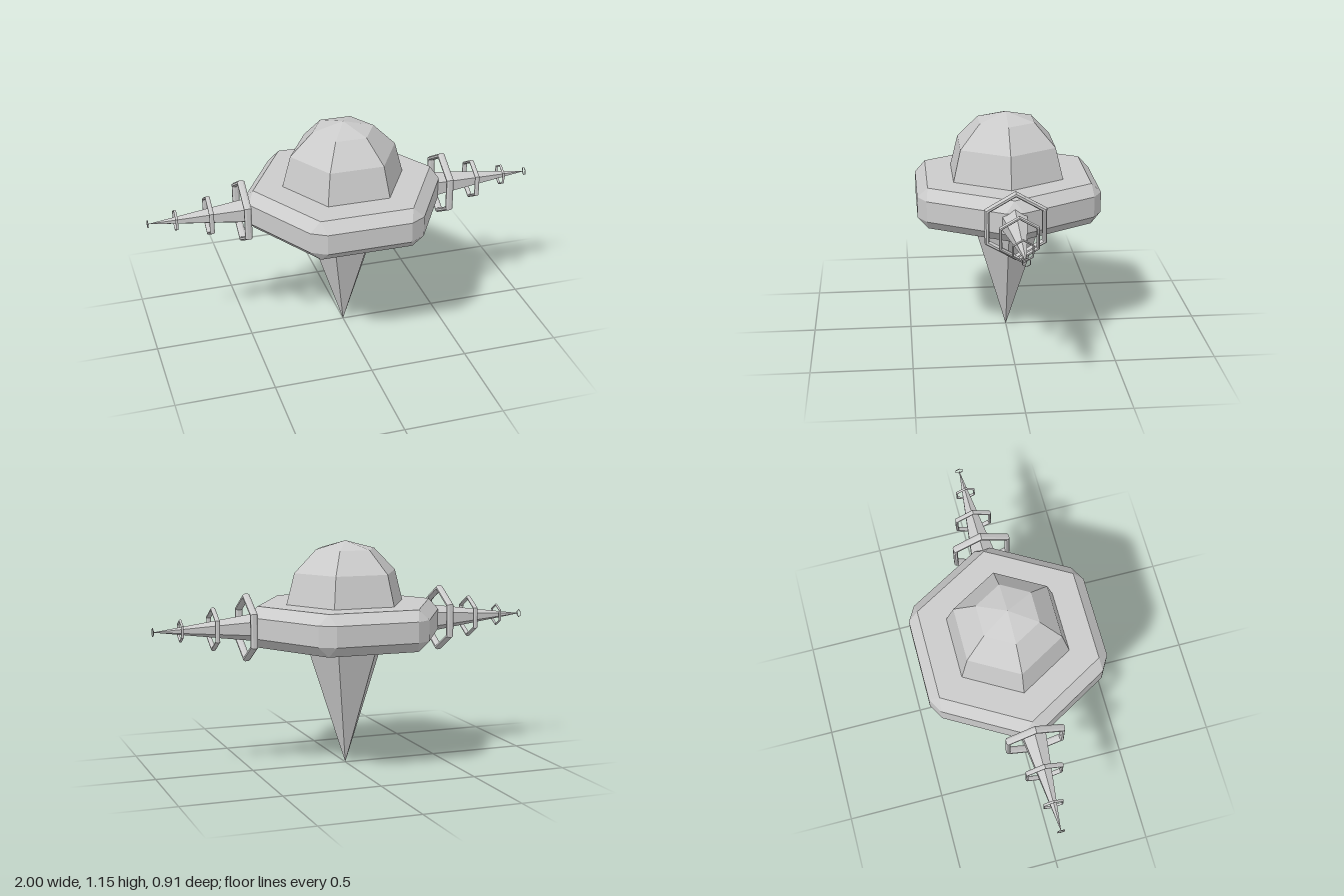
import * as THREE from 'three';
import { ConvexGeometry } from 'three/addons/geometries/ConvexGeometry.js';

const HEX = Math.PI / 3;
const CENTRE_Y = 0.735;

export function createModel() {
  const model = new THREE.Group();
  const material = new THREE.MeshStandardMaterial({ color: 0xcccccc, flatShading: true });

  const add = (parent, name, geometry, x = 0, y = 0) => {
    const mesh = new THREE.Mesh(geometry, material);
    mesh.name = name;
    mesh.position.set(x, y, 0);
    parent.add(mesh);
    return mesh;
  };

  // Hexagonal hull: sharp top and bottom faces, bevelled rims and corners
  const points = [];
  for (let i = 0; i < 6; i++) {
    const spin = (v) => v.applyAxisAngle(new THREE.Vector3(0, 1, 0), i * HEX);
    for (const s of [-1, 1]) {
      points.push(spin(new THREE.Vector3(0.466, CENTRE_Y + s * 0.104, 0)));
      for (const t of [-1, 1]) {
        points.push(spin(new THREE.Vector3(0.5, CENTRE_Y + s * 0.052, t * 0.044)));
      }
    }
  }
  add(model, 'hull', new ConvexGeometry(points));

  // Faceted dome on top
  add(model, 'dome', new THREE.SphereGeometry(0.315, 6, 3, 0, Math.PI * 2, 0, Math.PI / 2), 0, 0.84);

  // Long spike underneath, its base sunk into the hull
  const spike = new THREE.ConeGeometry(0.218, 0.66, 6, 1, false, Math.PI / 2);
  spike.rotateX(Math.PI);
  add(model, 'lowerSpike', spike, 0, 0.33);

  // Ring section with bevelled edges, swept round six sides
  const section = [
    [0.17, -0.008], [0.17, 0.008], [0.163, 0.018], [0.152, 0.018], [0.145, 0.008],
    [0.145, -0.008], [0.152, -0.018], [0.163, -0.018], [0.17, -0.008],
  ].map(([r, y]) => new THREE.Vector2(r, y));
  const ringGeometry = new THREE.LatheGeometry(section, 6, Math.PI / 2);
  ringGeometry.rotateZ(-Math.PI / 2);

  // Side antenna: a tapering spike carrying four shrinking rings
  const armGeometry = new THREE.ConeGeometry(0.073, 0.54, 6, 1, false, Math.PI / 2);
  armGeometry.rotateZ(-Math.PI / 2);
  const rings = [[0.525, 0.17], [0.695, 0.108], [0.86, 0.057], [0.997, 0.022]];

  for (const side of ['left', 'right']) {
    const antenna = new THREE.Group();
    antenna.name = side + 'Antenna';
    antenna.position.y = CENTRE_Y;
    if (side === 'right') antenna.rotation.y = Math.PI;
    add(antenna, side + 'Spike', armGeometry, 0.73);
    rings.forEach(([x, radius], i) => {
      add(antenna, side + 'Ring' + (i + 1), ringGeometry, x).scale.setScalar(radius / 0.17);
    });
    model.add(antenna);
  }

  return model;
}
